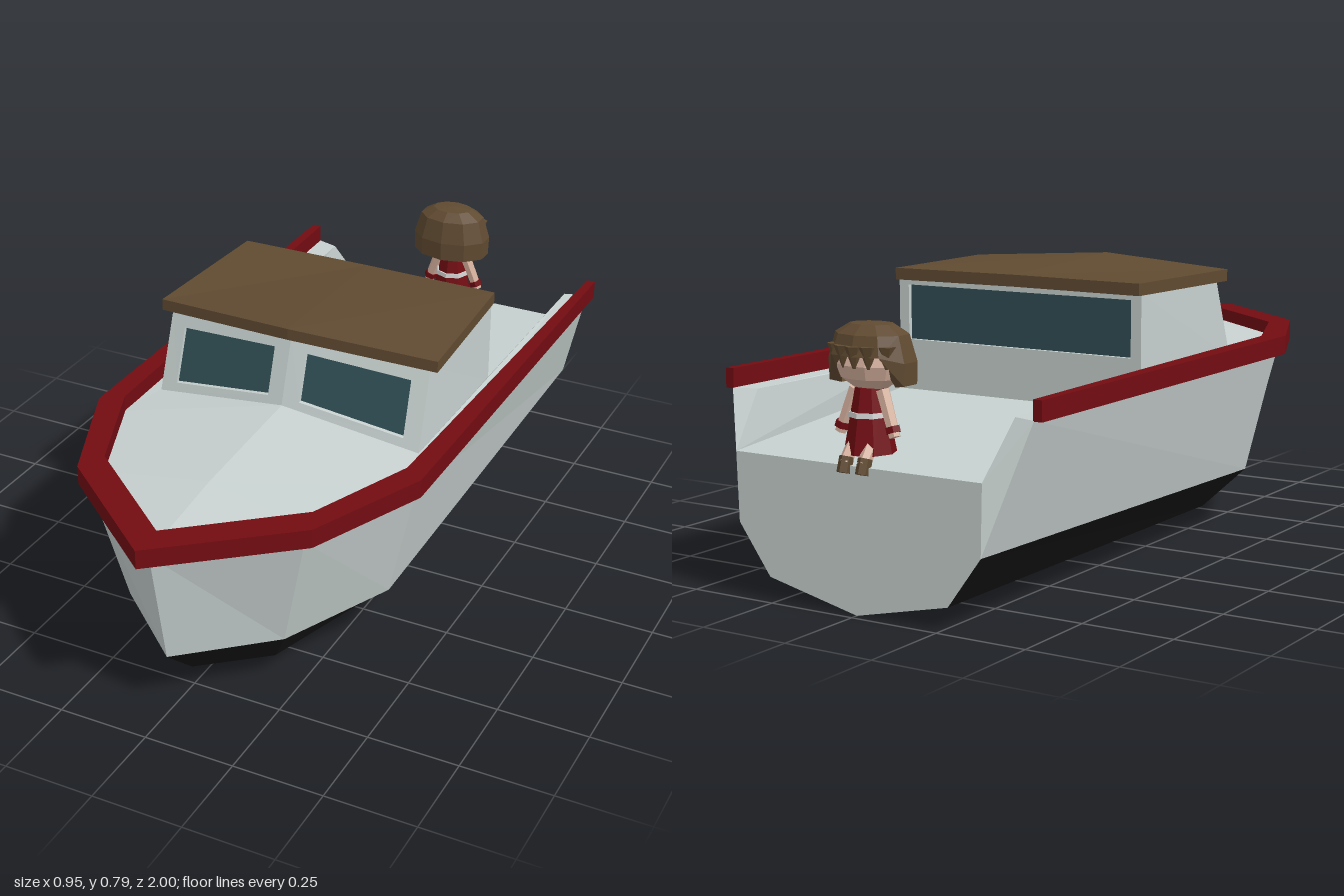
import * as THREE from 'three';

const mat = (color) => new THREE.MeshStandardMaterial({ color, flatShading: true, side: THREE.DoubleSide });
const paint = mat(0xc6d0ce), black = mat(0x161616), red = mat(0x720c12), brown = mat(0x604a31);
const glass = mat(0x2f4d53), skin = mat(0xd8b3a0), white = mat(0xd8d8d8);

const flip = ([x, y, z]) => [-x, y, z];
const both = (faces) => [...faces, ...faces.map((f) => f.map(flip).reverse())];

// Flat-shaded mesh from convex polygons, each split into a fan
function faceMesh(name, faces, material) {
  const pos = [];
  for (const f of faces)
    for (let i = 1; i < f.length - 1; i++) pos.push(...f[0], ...f[i], ...f[i + 1]);
  const geo = new THREE.BufferGeometry();
  geo.setAttribute('position', new THREE.Float32BufferAttribute(pos, 3));
  geo.computeVertexNormals();
  return named(name, geo, material);
}

function named(name, geo, material, pos = [0, 0, 0]) {
  const m = new THREE.Mesh(geo, material);
  m.name = name;
  m.position.set(...pos);
  return m;
}

// Rod between two points
function rod(name, a, b, r0, r1, material) {
  const p = new THREE.Vector3(...a), q = new THREE.Vector3(...b);
  const m = named(name, new THREE.CylinderGeometry(r1, r0, p.distanceTo(q), 6), material);
  m.position.copy(p).lerp(q, 0.5);
  m.quaternion.setFromUnitVectors(new THREE.Vector3(0, 1, 0), q.sub(p).normalize());
  return m;
}

// Wall with a recessed window; corners a b c d run bottom, bottom, top, top
function windowWall([a, b, c, d], u0, u1, v0, v1, depth) {
  const mix = (p, q, t) => p.map((n, i) => n + (q[i] - n) * t);
  const at = (u, v) => mix(mix(a, b, u), mix(d, c, u), v);
  const outer = [a, b, c, d];
  const hole = [at(u0, v0), at(u1, v0), at(u1, v1), at(u0, v1)];
  const pane = hole.map(([x, y, z]) => [x, y, z + depth]);
  const frame = [];
  for (let i = 0; i < 4; i++) {
    const j = (i + 1) % 4;
    frame.push([outer[i], outer[j], hole[j], hole[i]], [hole[i], hole[j], pane[j], pane[i]]);
  }
  return { frame, pane };
}

function buildHull() {
  const g = new THREE.Group();
  g.name = 'hull';
  // Half sections from stern to stem: keel, chine, waterline, gunwale
  const stations = [
    [[0, 0, -0.98], [0.27, 0.06, -0.98], [0.365, 0.19, -0.98], [0.455, 0.51, -0.89]],
    [[0, 0.03, 0.2], [0.27, 0.06, 0.3], [0.375, 0.17, 0.36], [0.455, 0.51, 0.38]],
    [[0, 0.033, 0.62], [0.17, 0.06, 0.62], [0.23, 0.17, 0.68], [0.31, 0.51, 0.72]],
    [[0, 0.06, 0.76], [0, 0.06, 0.76], [0, 0.17, 0.88], [0, 0.51, 0.94]],
  ];
  const bottom = [], sides = [];
  for (let i = 0; i < 3; i++)
    for (let k = 0; k < 3; k++) {
      const s = stations[i], t = stations[i + 1];
      (k < 2 ? bottom : sides).push([s[k], s[k + 1], t[k + 1], t[k]]);
    }
  // Transom with slanted upper corners
  const [keel, chine, water, gun] = stations[0];
  const corner = [0.37, 0.37, -0.98], ledge = [0.39, 0.51, -0.87];
  sides.push([keel, [0, 0.37, -0.98], corner, water, chine], [gun, water, corner], [gun, corner, ledge]);
  g.add(faceMesh('hullBottom', both(bottom), black), faceMesh('hullSides', both(sides), paint));

  // Aft well, side decks and crowned foredeck
  const wellTop = [0.385, 0.51, -0.27], wellFoot = [0.385, 0.43, -0.27], cabinFoot = [0.39, 0.52, 0.22];
  const peak = [0, 0.58, 0.245], ridge = [0, 0.557, 0.64];
  const bow = [0, 0.52, 0.93], shoulder = [0.31, 0.52, 0.67], beam = [0.44, 0.515, 0.37];
  const deck = [
    [[0, 0.37, -0.98], [0, 0.43, -0.27], wellFoot, corner],
    [corner, wellFoot, wellTop, ledge],
    [ledge, wellTop, cabinFoot, beam, gun],
    [bow, shoulder, ridge], [ridge, shoulder, beam], [ridge, beam, peak], [peak, beam, cabinFoot],
  ];
  g.add(faceMesh('deck', both(deck), paint));
  return g;
}

// Red rail around the deck, open at the stern
function buildRail() {
  const outer = [[0.477, -0.89], [0.477, 0.4], [0.335, 0.73], [0, 1]];
  const inner = [[0.452, -0.89], [0.42, 0.36], [0.3, 0.655], [0, 0.9]];
  const loop = (pts) => [...pts, ...pts.slice(0, 3).reverse().map(([x, z]) => [-x, z])];
  const outline = [...loop(outer), ...loop(inner).reverse()];
  const shape = new THREE.Shape(outline.map(([x, z]) => new THREE.Vector2(x, z)));
  const geo = new THREE.ExtrudeGeometry(shape, { depth: 0.052, bevelEnabled: false });
  geo.rotateX(Math.PI / 2);
  return named('rail', geo, red, [0, 0.56, 0]);
}

function buildCabin() {
  const g = new THREE.Group();
  g.name = 'cabin';
  const topSide = [0.385, 0.74, 0.145], topMid = [0, 0.762, 0.185];
  const footSide = [0.39, 0.515, 0.222], footMid = [0, 0.578, 0.247];
  const rearTop = [0.385, 0.74, -0.27], rearFoot = [0.385, 0.43, -0.27];
  const front = windowWall([footMid, footSide, topSide, topMid], 0.12, 0.88, 0.13, 0.8, -0.012);
  const rear = windowWall([flip(rearFoot), rearFoot, rearTop, flip(rearTop)], 0.04, 0.96, 0.45, 0.94, 0.012);
  const side = [[0.385, 0.5, -0.27], rearTop, topSide, footSide];
  g.add(faceMesh('cabinWalls', [...both([...front.frame, side]), ...rear.frame], paint));
  g.add(faceMesh('frontWindows', both([front.pane]), glass));
  g.add(faceMesh('rearWindow', [rear.pane], glass));

  // Peaked roof slab
  const low = [[0, 0.758, 0.207], [0.411, 0.735, 0.16], [0.387, 0.735, -0.285], [0, 0.737, -0.285]];
  const high = low.map(([x, y, z]) => [x, y + 0.032, z]);
  const roof = [low, high];
  for (let i = 0; i < 3; i++) roof.push([low[i], low[i + 1], high[i + 1], high[i]]);
  g.add(faceMesh('roof', both(roof), brown));
  return g;
}

// Small figure sitting on the transom, looking aft
function buildFigure() {
  const g = new THREE.Group();
  g.name = 'seatedFigure';
  const profile = [[0, 0.712], [0.06, 0.708], [0.1, 0.685], [0.12, 0.62], [0.118, 0.565], [0.085, 0.56]];
  const hair = new THREE.LatheGeometry(profile.map((p) => new THREE.Vector2(...p)), 10);
  const p = hair.attributes.position;
  // Lift the hem above the face
  for (let i = 0; i < p.count; i++)
    if (p.getZ(i) < -0.06 && p.getY(i) < 0.63) p.setY(i, 0.635);
  hair.scale(1, 1, 0.72);
  g.add(named('hair', hair, brown, [0, 0, -0.9]));
  const face = new THREE.SphereGeometry(1, 10, 6);
  face.scale(0.095, 0.065, 0.07);
  g.add(named('face', face, skin, [0, 0.61, -0.905]));
  for (let i = -2; i <= 2; i++) {
    const z = -0.972 + 0.007 * i * i;
    g.add(rod('fringe', [i * 0.037, 0.66, z], [i * 0.037, 0.605, z], 0.024, 0.004, brown));
  }
  const dress = new THREE.CylinderGeometry(0.035, 0.065, 0.16, 8);
  g.add(named('dress', dress, red, [0, 0.475, -0.915]));
  g.add(named('belt', new THREE.CylinderGeometry(0.051, 0.054, 0.012, 8), white, [0, 0.49, -0.915]));
  for (const s of [-1, 1]) {
    g.add(rod('arm', [s * 0.04, 0.55, -0.915], [s * 0.082, 0.44, -0.925], 0.018, 0.015, skin));
    g.add(rod('cuff', [s * 0.073, 0.465, -0.923], [s * 0.078, 0.45, -0.924], 0.02, 0.02, red));
    g.add(rod('leg', [s * 0.026, 0.42, -0.945], [s * 0.028, 0.375, -0.98], 0.018, 0.016, skin));
    g.add(rod('boot', [s * 0.028, 0.39, -0.972], [s * 0.028, 0.352, -0.985], 0.018, 0.018, brown));
  }
  return g;
}

export function createModel() {
  const boat = new THREE.Group();
  boat.name = 'boat';
  boat.add(buildHull(), buildRail(), buildCabin(), buildFigure());
  return boat;
}
